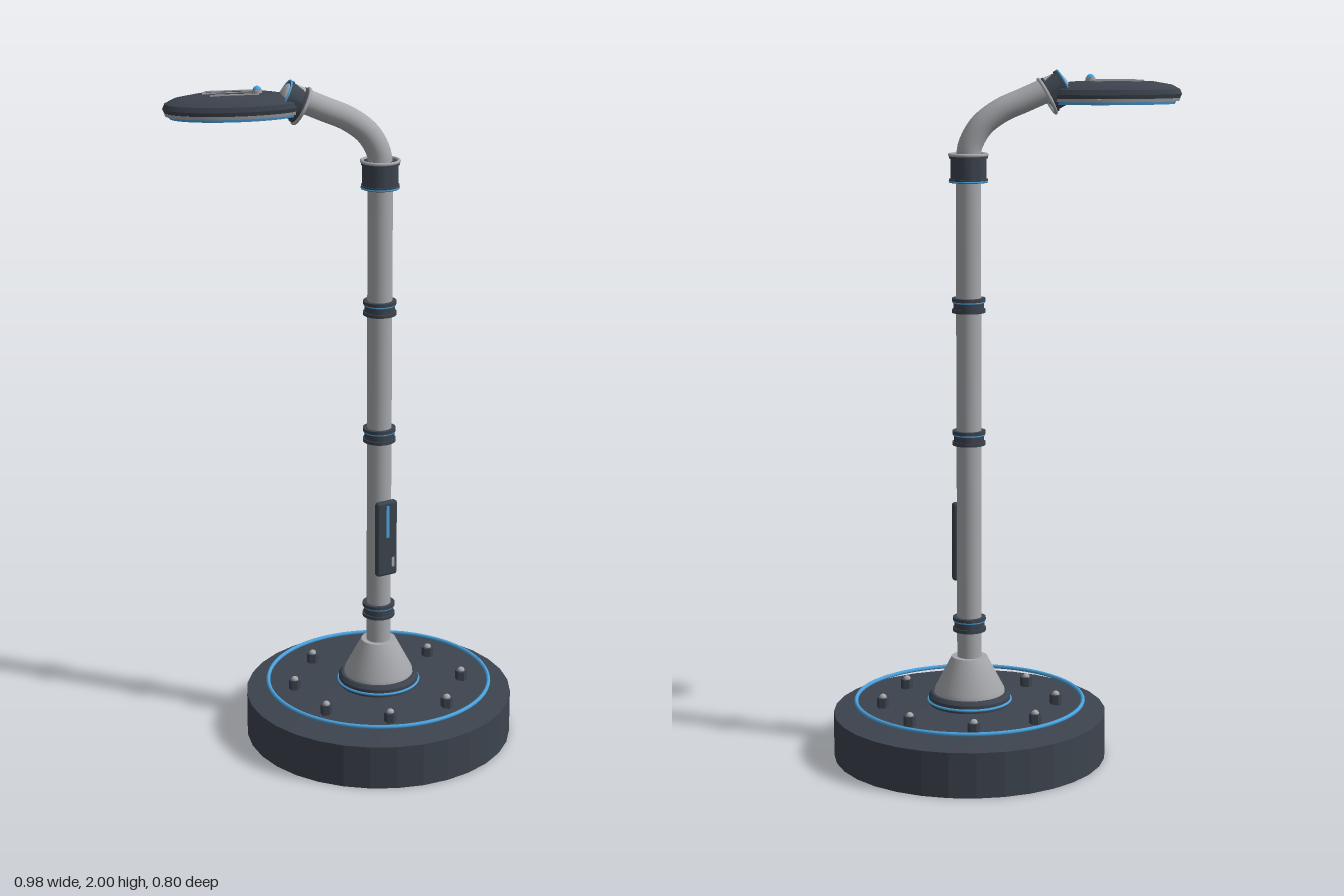
import * as THREE from 'three';
import { toCreasedNormals } from 'three/addons/utils/BufferGeometryUtils.js';
import { RoundedBoxGeometry } from 'three/addons/geometries/RoundedBoxGeometry.js';

const dark = new THREE.MeshStandardMaterial({ color: 0x3d444e });
const blue = new THREE.MeshStandardMaterial({ color: 0x4aa3e0 });
const grey = new THREE.MeshStandardMaterial({ color: 0xa6a8ac });

function add(parent, name, geometry, material, x = 0, y = 0, z = 0) {
  const mesh = new THREE.Mesh(geometry, material);
  mesh.name = name;
  mesh.position.set(x, y, z);
  parent.add(mesh);
  return mesh;
}

function group(parent, name, x = 0, y = 0, z = 0) {
  const g = new THREE.Group();
  g.name = name;
  g.position.set(x, y, z);
  parent.add(g);
  return g;
}

// Turned part from [radius, height] pairs, listed bottom to top
function turned(points, sides = 32, crease = 0.5) {
  const profile = points.map(([r, y]) => new THREE.Vector2(r, y));
  return toCreasedNormals(new THREE.LatheGeometry(profile, sides), crease);
}

// Horizontal ring
function ring(radius, tube, sides = 40) {
  return new THREE.TorusGeometry(radius, tube, 8, sides).rotateX(Math.PI / 2);
}

// Pole collar with raised lips and a blue band, centred on y = 0
function collar(parent, name, y, r, h) {
  const g = group(parent, name, 0, y);
  const lip = r + 0.004, e = h / 2, t = Math.min(0.01, h / 4);
  add(g, 'collarBody', turned([
    [0, -e], [lip, -e], [lip, -e + t], [r, -e + t],
    [r, e - t], [lip, e - t], [lip, e], [0, e]]), dark);
  return g;
}

function buildBase(parent) {
  const base = group(parent, 'base');
  add(base, 'baseDisc', turned([[0, 0], [0.4, 0], [0.4, 0.132], [0.13, 0.155], [0, 0.155]], 32, 0.1), dark);
  add(base, 'baseRing', ring(0.334, 0.006, 64), blue, 0, 0.165);
  // Bolts around the base
  for (let i = 0; i < 8; i++) {
    const a = (i + 0.5) * Math.PI / 4;
    const bolt = group(base, 'bolt', 0.255 * Math.cos(a), 0, 0.255 * Math.sin(a));
    add(bolt, 'boltHead', toCreasedNormals(new THREE.CylinderGeometry(0.018, 0.018, 0.032, 6), 0.5), dark, 0, 0.157);
    const cap = add(bolt, 'boltCap', new THREE.SphereGeometry(0.011, 12, 8), grey, 0, 0.174);
    cap.scale.y = 0.9;
  }
  // Flange and cone at the foot of the pole
  add(base, 'flange', turned([[0, 0.14], [0.12, 0.14], [0.12, 0.178], [0.112, 0.188], [0, 0.188]]), dark);
  add(base, 'flangeRing', ring(0.121, 0.004), blue, 0, 0.165);
  add(base, 'footCone', turned([[0, 0.186], [0.104, 0.186], [0.102, 0.2], [0.056, 0.288], [0.052, 0.296], [0, 0.296]]), grey);
}

function buildPole(parent) {
  const pole = group(parent, 'pole');
  add(pole, 'poleTube', new THREE.CylinderGeometry(0.036, 0.036, 1.46, 24), grey, 0, 0.99);
  for (const y of [0.395, 0.95, 1.335]) {
    const c = collar(pole, 'poleCollar', y, 0.044, 0.042);
    add(c, 'collarBand', ring(0.044, 0.003), blue, 0, 0.009);
  }
  const top = collar(pole, 'topCollar', 1.724, 0.051, 0.078);
  add(top, 'topCollarBand', ring(0.053, 0.003), blue, 0, -0.036);
  add(top, 'topCollarLip', ring(0.053, 0.005), grey, 0, 0.039);

  // Control panel on the front of the pole
  const panel = group(pole, 'controlPanel', 0, 0.635, 0.041);
  add(panel, 'panelBody', new RoundedBoxGeometry(0.068, 0.234, 0.022, 2, 0.008), dark);
  add(panel, 'panelLight', new THREE.BoxGeometry(0.01, 0.1, 0.005), blue, 0, 0.055, 0.01);
  add(panel, 'panelSwitch', new THREE.BoxGeometry(0.008, 0.03, 0.005), grey, 0.018, -0.075, 0.01);
}

function buildLamp(parent) {
  // Local +x runs outward along the arm
  const arm = group(parent, 'lampArm');
  arm.rotation.y = Math.PI - 0.34;
  const path = new THREE.CatmullRomCurve3([
    [0, 1.74], [0.004, 1.785], [0.035, 1.842], [0.09, 1.885], [0.16, 1.916], [0.25, 1.955],
  ].map(([x, y]) => new THREE.Vector3(x, y, 0)));
  add(arm, 'armTube', new THREE.TubeGeometry(path, 24, 0.035, 20), grey);

  // Tilted joint between arm and head
  const joint = collar(arm, 'headJoint', 1.94, 0.048, 0.056);
  joint.position.x = 0.25;
  joint.rotation.z = -1.08;
  add(joint, 'jointLip', ring(0.053, 0.005), grey, 0, -0.03);
  add(joint, 'jointBand', ring(0.05, 0.003), blue, 0, 0.028);
  const cap = add(joint, 'jointCap', new THREE.SphereGeometry(0.042, 20, 12), grey, 0, 0.026);
  cap.scale.y = 0.35;

  // Oval head: shell, rim and light panel
  const head = group(arm, 'lampHead', 0.41, 1.935);
  const oval = (name, points, material) => {
    const g = turned(points.map(([r, y]) => [r * 0.2, y]), 48, 0.6);
    add(head, name, g, material).scale.z = 0.43;
  };
  oval('headShell', [[0, -0.016], [0.97, -0.016], [1, -0.004], [0.97, 0.01], [0.85, 0.022],
    [0.6, 0.031], [0.3, 0.034], [0, 0.035]], dark);
  oval('headRim', [[0, -0.024], [0.96, -0.024], [0.98, -0.015], [0, -0.015]], grey);
  oval('lightPanel', [[0, -0.032], [0.9, -0.032], [0.92, -0.023], [0, -0.023]], blue);

  // Vents and button on top of the head
  for (const [z, x, length] of [[-0.03, 0.003, 0.135], [0, 0.014, 0.15], [0.03, 0.01, 0.137]]) {
    add(head, 'vent', new THREE.BoxGeometry(length, 0.008, 0.004), grey, x, 0.0325, z);
  }
  add(head, 'buttonBase', new THREE.CylinderGeometry(0.014, 0.014, 0.012, 16), grey, -0.063, 0.036);
  add(head, 'button', new THREE.SphereGeometry(0.012, 16, 10), blue, -0.063, 0.04);
}

export function createModel() {
  const model = new THREE.Group();
  model.name = 'floorLamp';
  const body = group(model, 'lampBody', 0.087);
  buildBase(body);
  buildPole(body);
  buildLamp(body);
  return model;
}
